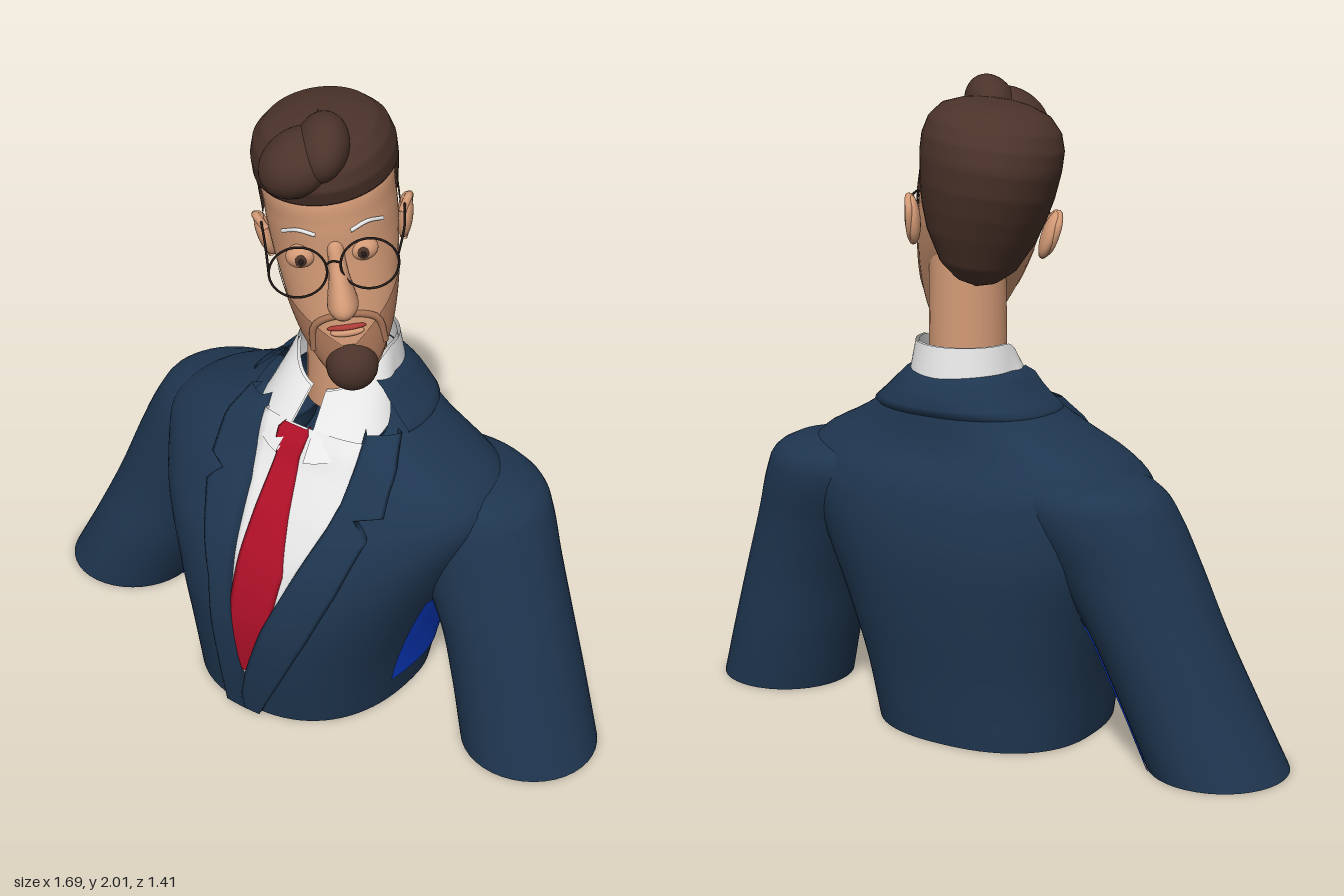
import * as THREE from 'three';
import { mergeVertices } from 'three/addons/utils/BufferGeometryUtils.js';

const mat = (name, color) => new THREE.MeshStandardMaterial({ name, color, side: THREE.DoubleSide });
const M = {
  navy: mat('navy cloth', 0x1f3650), blue: mat('blue lining', 0x0c3fd0), grey: mat('cut grey', 0xdddddd),
  white: mat('shirt white', 0xe8e8e8), red: mat('tie red', 0xb01028), skin: mat('skin', 0xd39a76),
  stubble: mat('stubble', 0xa87558), hair: mat('hair brown', 0x4b332a), dark: mat('dark frame', 0x211a18),
  lips: mat('lips', 0xa83a34),
};

// Interpolates rows [key, ...values] at a key, smoothly or linearly
function sample(rows, y, smooth = true) {
  let i = 0;
  while (i < rows.length - 2 && y > rows[i + 1][0]) i++;
  const a = rows[i], b = rows[i + 1], h = b[0] - a[0];
  const k = Math.min(1, Math.max(0, (y - a[0]) / h));
  const slope = (j, c) => {
    const p = rows[Math.max(0, j - 1)], n = rows[Math.min(rows.length - 1, j + 1)];
    return (n[c] - p[c]) / (n[0] - p[0]);
  };
  return a.slice(1).map((v, n) => {
    const c = n + 1, d = b[c] - v;
    if (!smooth) return v + d * k;
    const m0 = slope(i, c) * h, m1 = slope(i + 1, c) * h;
    return v + d * k * k * (3 - 2 * k) + m0 * k * (1 - k) * (1 - k) - m1 * k * k * (1 - k);
  });
}

// Surface from fn(s, t) -> [x, y, z], s running right and t running up
function grid(name, material, ns, nt, fn) {
  const pos = [], idx = [];
  for (let j = 0; j <= nt; j++) for (let i = 0; i <= ns; i++) pos.push(...fn(i / ns, j / nt));
  for (let j = 0; j < nt; j++) for (let i = 0; i < ns; i++) {
    const a = j * (ns + 1) + i, b = a + 1, c = a + ns + 1, d = c + 1;
    idx.push(a, b, d, a, d, c);
  }
  let g = new THREE.BufferGeometry();
  g.setAttribute('position', new THREE.Float32BufferAttribute(pos, 3));
  g.setIndex(idx);
  g = mergeVertices(g, 1e-4);
  g.computeVertexNormals();
  const m = new THREE.Mesh(g, material);
  m.name = name;
  return m;
}
function ball(name, material, p, s, rotZ = 0) {
  const m = new THREE.Mesh(new THREE.SphereGeometry(1, 28, 20), material);
  m.name = name; m.position.set(...p); m.scale.set(...s); m.rotation.z = rotZ;
  return m;
}
function tube(name, material, pts, r) {
  const c = new THREE.CatmullRomCurve3(pts.map(p => new THREE.Vector3(...p)));
  const m = new THREE.Mesh(new THREE.TubeGeometry(c, 20, r, 8), material);
  m.name = name;
  return m;
}
const TAU = Math.PI * 2;

// Torso: height, centre, half width, front depth, back depth
const TORSO = [[0, 0, .355, .41, .30], [.2, .01, .39, .44, .32], [.4, .02, .45, .45, .345], [.6, .03, .53, .415, .36],
  [.75, .05, .58, .345, .345], [.83, .055, .58, .295, .32], [.9, .06, .51, .25, .28], [.96, .065, .39, .22, .26],
  [1.02, .07, .29, .18, .25], [1.08, .07, .22, .15, .235], [1.13, .065, .175, .125, .2]];
const BOXY = 2.35;
function torsoAt(phi, y, off = 0) {
  const [c, a, f, b] = sample(TORSO, y);
  const pow = v => Math.sign(v) * Math.pow(Math.abs(v), 2 / BOXY);
  const co = pow(Math.cos(phi));
  return [c + (a + off) * pow(Math.sin(phi)), y, co * ((co > 0 ? f : b) + off)];
}
// Cloth panel lying on the chest; rows are [height, right edge, left edge]
function panel(name, material, rows, off) {
  const y0 = rows[0][0], y1 = rows[rows.length - 1][0];
  return grid(name, material, 14, 44, (s, t) => {
    const y = y0 + (y1 - y0) * t, [l, r] = sample(rows, y, false);
    const k = Math.min(1, Math.max(0, (s * 14 - 1) / 12));
    const [c, a] = sample(TORSO, y);
    const u = Math.max(-.98, Math.min(.98, (l + (r - l) * k - c) / a));
    const phi = Math.sign(u) * Math.asin(Math.pow(Math.abs(u), BOXY / 2));
    return torsoAt(phi, y, s === 0 || s === 1 ? -.008 : off);
  });
}

function buildBody() {
  const g = new THREE.Group();
  g.name = 'body';
  g.rotation.y = -.66;
  // Jacket, its top edge dipping at the front
  g.add(grid('jacket', M.navy, 80, 50, (s, t) => {
    const phi = Math.PI + s * TAU;
    return torsoAt(phi, (1.13 - .17 * Math.pow(Math.max(0, Math.cos(phi)), .9)) * t);
  }));
  g.add(grid('torsoCut', M.grey, 48, 1, (s, t) => {
    const p = torsoAt(s * TAU, 0);
    return [p[0] * t, .001, p[2] * t];
  }));
  g.add(grid('leftSideLining', M.blue, 12, 10, (s, t) => torsoAt(1.3 + .6 * s, .1 + .38 * t, .004)));

  // Shirt front, tie and lapels
  g.add(panel('shirtFront', M.white, [[.16, .015, .03], [.4, -.02, .11], [.6, -.035, .19], [.8, -.05, .27],
    [1.0, -.08, .27]], .006));
  g.add(panel('tie', M.red, [[.19, .015, .03], [.36, -.025, .115], [.6, -.01, .15], [.92, .015, .09],
    [.94, .0, .095], [.99, -.005, .1], [1.0, .01, .09]], .015));
  g.add(panel('leftLapel', M.navy, [[.01, -.01, .06], [.2, .035, .15], [.4, .10, .24], [.6, .18, .32], [.78, .25, .375],
    [.825, .26, .315], [.84, .265, .4], [.95, .27, .38], [1.03, .26, .33]], .025));
  g.add(panel('rightLapel', M.navy, [[.01, -.06, .01], [.2, -.07, .01], [.5, -.10, -.022], [.78, -.19, -.04],
    [.825, -.14, -.045], [.84, -.20, -.05], [.95, -.2, -.075], [1.03, -.15, -.09]], .025));
  // Jacket collar around the back of the neck
  g.add(grid('jacketCollar', M.navy, 40, 8, (s, t) => {
    const phi = 1.3 + s * (TAU - 2.6);
    return torsoAt(phi, 1.01 + .13 * t, t === 0 || t === 1 ? -.01 : .016);
  }));
  // Shirt collar with a front opening and long points
  for (const inset of [0, .01]) {
    g.add(grid('shirtCollar', M.white, 56, 8, (s, t) => {
      const phi = .16 + s * (TAU - .32);
      const front = Math.max(0, Math.cos(phi)), drop = Math.pow(front, 1.4);
      const y = (1.06 - .14 * drop) * (1 - t) + (1.22 - .13 * drop) * t;
      const r = .182 - .03 * t + front * (.125 * (1 - t) + .012) - inset;
      return [.068 + r * Math.sin(phi), y, -.045 + r * Math.cos(phi)];
    }));
  }

  // Sleeves: height, centre across, centre depth, half width, half depth
  const sleeves = {
    left: [[0, .80, 0, .215, .215], [.2, .74, -.02, .21, .21], [.4, .675, -.035, .212, .205], [.6, .58, -.055, .24, .21],
      [.76, .49, -.075, .275, .222], [.83, .46, -.08, .262, .205], [.87, .40, -.07, .22, .15], [.9, .34, -.05, .001, .001]],
    right: [[0, -.80, 0, .215, .215], [.2, -.70, -.01, .21, .21], [.4, -.605, -.03, .212, .205], [.6, -.495, -.045, .24, .21],
      [.76, -.39, -.06, .27, .222], [.83, -.355, -.07, .252, .2], [.87, -.30, -.06, .2, .15], [.9, -.25, -.05, .001, .001]],
  };
  for (const side of ['left', 'right']) {
    const at = (phi, y, off = 0, k = 1) => {
      const [u, w, a, b] = sample(sleeves[side], y);
      return [u + (a + off) * k * Math.sin(phi), y, w + (b + off) * k * Math.cos(phi)];
    };
    g.add(grid(side + 'Sleeve', M.navy, 40, 44, (s, t) => at(s * TAU, .9 * t)));
    g.add(grid(side + 'SleeveCut', side === 'left' ? M.grey : M.blue, 40, 1, (s, t) => at(s * TAU, .001, 0, t)));
    if (side === 'right') g.add(grid('rightSleeveLining', M.blue, 16, 14, (s, t) => {
      const lo = 1.5 - .75 * Math.min(1, t * 1.5), hi = 2.4 - .15 * t;
      return at(lo + (hi - lo) * s, .002 + .46 * t, .004);
    }));
  }
  return g;
}

// Lofted ring surface: height, half width, front z, back z, optional z of the widest point
function ringAt(rows, phi, y, off = 0, smooth = true) {
  const [w, f, b, c = (f + b) / 2] = sample(rows, y, smooth);
  const co = Math.cos(phi);
  return [(w + off) * Math.sin(phi), y, c + ((co > 0 ? f - c : c - b) + off) * co];
}
const SKULL = [[-.32, .002, .22, .2], [-.31, .045, .25, .16], [-.28, .08, .265, .12], [-.2, .122, .26, .06], [-.1, .155, .247, -.02],
  [0, .176, .236, -.11], [.1, .19, .226, -.18], [.2, .194, .225, -.21], [.3, .185, .21, -.21], [.38, .1, .12, -.12]];
const NOSE = [[-.064, .002, .27, .22], [-.056, .028, .312, .2], [-.03, .045, .34, .19], [0, .042, .336, .19],
  [.05, .031, .3, .19], [.1, .025, .262, .19], [.15, .022, .236, .18], [.18, .002, .2, .18]];
const HAIR = [[-.1, .002, -.08, -.1, -.09], [-.085, .06, -.06, -.14, -.09], [-.04, .115, -.045, -.19, -.08],
  [.05, .165, -.03, -.24, -.06], [.12, .188, -.02, -.275, -.05], [.19, .204, .0, -.303, -.05], [.262, .213, .03, -.317, -.05],
  [.28, .214, .228, -.316, -.05], [.33, .214, .245, -.305, -.05], [.38, .2, .235, -.275, -.04], [.42, .165, .195, -.225, -.03],
  [.445, .1, .12, -.14, -.02], [.455, .002, 0, -.02, -.01]];

function buildHead() {
  const g = new THREE.Group();
  g.name = 'head';
  g.position.set(.045, 1.5, 0);
  g.rotation.z = .13;
  g.add(grid('face', M.skin, 48, 48, (s, t) => ringAt(SKULL, Math.PI + s * TAU, -.32 + .7 * t)));
  g.add(grid('nose', M.skin, 24, 30, (s, t) => ringAt(NOSE, Math.PI + s * TAU, -.064 + .244 * t)));
  g.add(grid('hair', M.hair, 48, 80, (s, t) => ringAt(HAIR, Math.PI + s * TAU, -.1 + .555 * t, 0, false)));
  g.add(ball('quiffRight', M.hair, [-.07, .385, .145], [.122, .09, .122], .4));
  g.add(ball('quiffLeft', M.hair, [.0, .415, .135], [.078, .098, .13], -.5));

  // Jaw stubble, beard, moustache and mouth
  g.add(grid('jawStubble', M.stubble, 48, 12, (s, t) => {
    const k = Math.abs(2 * s - 1), lo = -.31 + .2 * k * k, hi = -.19 + .2 * k;
    return ringAt(SKULL, (2 * s - 1) * 1.6, lo + (hi - lo) * t, .004);
  }));
  g.add(ball('goatee', M.hair, [0, -.252, .245], [.077, .08, .068]));
  g.add(tube('moustache', M.stubble, [[-.105, -.2, .215], [-.09, -.11, .226], [0, -.075, .245], [.09, -.11, .226],
    [.105, -.2, .215]], .011));
  g.add(ball('lips', M.lips, [0, -.118, .246], [.058, .009, .014]));
  g.add(ball('lowerLip', M.skin, [0, -.135, .245], [.05, .014, .018]));

  for (const sx of [-1, 1]) {
    const side = sx < 0 ? 'right' : 'left';
    // Ears and sideburns
    g.add(ball(side + 'Ear', M.skin, [sx * .208, .068, -.03], [.024, .074, .046], -sx * .2));
    g.add(tube(side + 'EarRim', M.skin, [[sx * .2, .1, .01], [sx * .226, .135, -.02], [sx * .226, .1, -.065],
      [sx * .212, .03, -.05], [sx * .195, .0, -.015]], .012));
    g.add(grid(side + 'Sideburn', M.hair, 8, 6, (s, t) =>
      ringAt(SKULL, sx * (1.62 - .06 * t) + (s - .5) * .5, .155 + .14 * t, .008)));
    // Eyes and brows
    const ex = -.012 + sx * .09;
    g.add(ball(side + 'Eyelid', M.skin, [ex, .11, .195], [.044, .036, .036]));
    g.add(ball(side + 'Iris', M.hair, [ex, .11, .225], [.018, .019, .009]));
    g.add(ball(side + 'Pupil', M.dark, [ex, .11, .23], [.009, .01, .007]));
    g.add(tube(side + 'Brow', M.white, [[sx * .05, .185, .22], [sx * .1, .198, .2], [sx * .145, .18, .163]], .006));
    // Spectacles
    const rim = new THREE.Mesh(new THREE.TorusGeometry(.083, .0036, 8, 40), M.dark);
    rim.name = side + 'Rim';
    rim.position.set(-.01 + sx * .103, .1, .27);
    g.add(rim);
    g.add(tube(side + 'Temple', M.dark, [[-.01 + sx * .185, .115, .27], [sx * .202, .12, .13], [sx * .212, .125, .0]], .0036));
  }
  g.add(tube('spectacleBridge', M.dark, [[-.032, .115, .27], [-.01, .125, .274], [.012, .115, .27]], .0036));
  return g;
}

export function createModel() {
  const model = new THREE.Group();
  model.name = 'bust';
  const neck = new THREE.Mesh(new THREE.CylinderGeometry(.117, .122, .5, 32), M.skin);
  neck.name = 'neck';
  neck.position.set(.072, 1.26, .028);
  model.add(buildBody(), neck, buildHead());
  return model;
}
